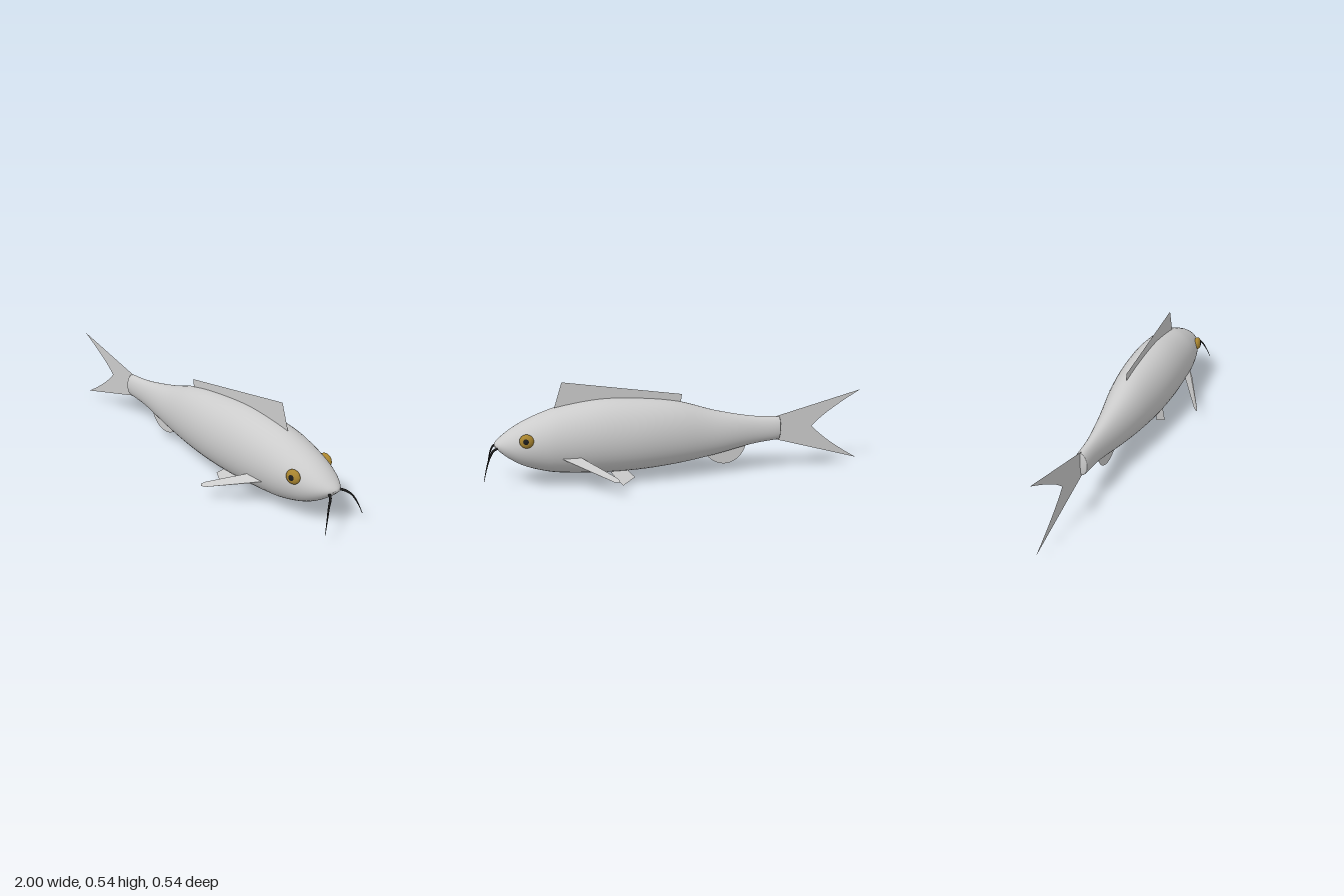
import * as THREE from 'three';

const grey = new THREE.MeshStandardMaterial({ color: 0xcccccc });
const finGrey = new THREE.MeshStandardMaterial({ color: 0xcccccc, side: THREE.DoubleSide });
const gold = new THREE.MeshStandardMaterial({ color: 0xa8842f });
const black = new THREE.MeshStandardMaterial({ color: 0x1c1c1c });

function add(parent, name, geometry, material) {
  const mesh = new THREE.Mesh(geometry, material);
  mesh.name = name;
  parent.add(mesh);
  return mesh;
}

// Body stations from tail to snout: x, top, bottom, half width
const STATIONS = [
  [-0.55, 0.302, 0.176, 0.034], [-0.4, 0.313, 0.157, 0.044], [-0.2, 0.353, 0.112, 0.078],
  [0, 0.412, 0.077, 0.115], [0.2, 0.438, 0.057, 0.14], [0.4, 0.443, 0.053, 0.148],
  [0.6, 0.415, 0.064, 0.142], [0.7, 0.386, 0.08, 0.132], [0.8, 0.343, 0.112, 0.111],
  [0.87, 0.302, 0.152, 0.084], [0.92, 0.264, 0.193, 0.05], [0.943, 0.242, 0.217, 0.02],
  [0.948, 0.23, 0.23, 0],
];

// Elliptical cross-sections lofted along a smooth spline through the stations
function bodyGeometry(rings = 60, sides = 40) {
  const heights = new THREE.CatmullRomCurve3(
    STATIONS.map(([x, t, b]) => new THREE.Vector3(x, (t + b) / 2, (t - b) / 2)), false, 'catmullrom');
  const widths = new THREE.CatmullRomCurve3(
    STATIONS.map(([x, , , w]) => new THREE.Vector3(x, w, 0)), false, 'catmullrom');
  const pos = [], index = [];
  for (let i = 0; i <= rings; i++) {
    const h = heights.getPoint(i / rings), w = widths.getPoint(i / rings).y;
    for (let j = 0; j < sides; j++) {
      const a = (j / sides) * Math.PI * 2;
      pos.push(h.x, h.y + Math.cos(a) * h.z, Math.sin(a) * w);
      if (i === rings) continue;
      const p = i * sides + j, q = i * sides + (j + 1) % sides;
      index.push(p, q, p + sides, q, q + sides, p + sides);
    }
  }
  const g = new THREE.BufferGeometry();
  g.setAttribute('position', new THREE.Float32BufferAttribute(pos, 3));
  g.setIndex(index);
  g.computeVertexNormals();
  return g;
}

// Flat fin spanned by a fan of 3D corners
function finGeometry(points) {
  const pos = [];
  for (let i = 1; i < points.length - 1; i++) pos.push(...points[0], ...points[i], ...points[i + 1]);
  const g = new THREE.BufferGeometry();
  g.setAttribute('position', new THREE.Float32BufferAttribute(pos, 3));
  g.computeVertexNormals();
  return g;
}

// Tube that narrows to a fine tip
function taperedTube(points, radius) {
  const curve = new THREE.CatmullRomCurve3(points.map(p => new THREE.Vector3(...p)));
  const n = 24, sides = 8;
  const g = new THREE.TubeGeometry(curve, n, radius, sides);
  const pos = g.attributes.position, v = new THREE.Vector3();
  for (let i = 0; i < pos.count; i++) {
    const t = Math.floor(i / (sides + 1)) / n, c = curve.getPointAt(t);
    v.fromBufferAttribute(pos, i).sub(c).multiplyScalar(1 - 0.85 * t).add(c);
    pos.setXYZ(i, v.x, v.y, v.z);
  }
  return g;
}

export function createModel() {
  const fish = new THREE.Group();
  fish.name = 'fish';

  add(fish, 'body', bodyGeometry(), grey);
  const cap = add(fish, 'tailRoot', new THREE.SphereGeometry(1, 24, 16), grey);
  cap.scale.set(0.008, 0.063, 0.034);
  cap.position.set(-0.549, 0.239, 0);

  // Forked tail fin
  const tail = new THREE.Shape();
  tail.moveTo(-0.53, 0.303);
  tail.lineTo(-1, 0.432);
  tail.bezierCurveTo(-0.88, 0.36, -0.79, 0.3, -0.735, 0.24);
  tail.bezierCurveTo(-0.79, 0.18, -0.88, 0.115, -1, 0.045);
  tail.lineTo(-0.53, 0.175);
  add(fish, 'tailFin', new THREE.ShapeGeometry(tail), finGrey);

  // Dorsal fin, rooted inside the back
  const dorsal = new THREE.Shape();
  dorsal.moveTo(-0.01, 0.38);
  dorsal.lineTo(-0.02, 0.45);
  dorsal.lineTo(0.595, 0.538);
  dorsal.lineTo(0.64, 0.4);
  add(fish, 'dorsalFin', new THREE.ShapeGeometry(dorsal), finGrey);

  // Rounded anal fin
  const anal = new THREE.Shape();
  anal.moveTo(-0.37, 0.17);
  anal.bezierCurveTo(-0.365, 0.1, -0.31, 0.053, -0.255, 0.053);
  anal.bezierCurveTo(-0.21, 0.053, -0.17, 0.08, -0.14, 0.125);
  add(fish, 'analFin', new THREE.ShapeGeometry(anal), finGrey);

  // Paired parts on both flanks
  for (const [side, s] of [['right', 1], ['left', -1]]) {
    add(fish, side + 'PectoralFin', finGeometry([
      [0.62, 0.18, s * 0.125], [0.52, 0.181, s * 0.132], [0.35, 0.104, s * 0.25],
      [0.336, 0.093, s * 0.266], [0.342, 0.086, s * 0.272], [0.365, 0.088, s * 0.266],
      [0.58, 0.165, s * 0.155],
    ]), finGrey);

    add(fish, side + 'PelvicFin', finGeometry([
      [0.285, 0.075, s * 0.045], [0.24, 0.034, s * 0.072],
      [0.305, 0, s * 0.096], [0.365, 0.063, s * 0.055],
    ]), finGrey);

    // Flattened eye with a dark pupil
    const eye = new THREE.Group();
    eye.name = side + 'Eye';
    eye.position.set(0.78, 0.273, s * 0.113);
    eye.rotation.set(-s * 0.12, s * 0.15, 0);
    const iris = add(eye, 'iris', new THREE.SphereGeometry(1, 24, 16), gold);
    iris.scale.set(0.036, 0.035, 0.02);
    const pupil = add(eye, 'pupil', new THREE.SphereGeometry(1, 16, 12), black);
    pupil.scale.set(0.016, 0.016, 0.008);
    pupil.position.z = s * 0.0145;
    fish.add(eye);

    // Whisker drooping from the corner of the mouth
    add(fish, side + 'Barbel', taperedTube([
      [0.92, 0.218, s * 0.028], [0.947, 0.213, s * 0.05], [0.967, 0.185, s * 0.082],
      [0.983, 0.14, s * 0.107], [0.998, 0.08, s * 0.132],
    ], 0.007), black);

    const lip = add(fish, side + 'Lip', new THREE.SphereGeometry(1, 16, 12), grey);
    lip.scale.set(0.012, 0.008, 0.014);
    lip.position.set(0.935, 0.225, s * 0.014);
  }
  return fish;
}
